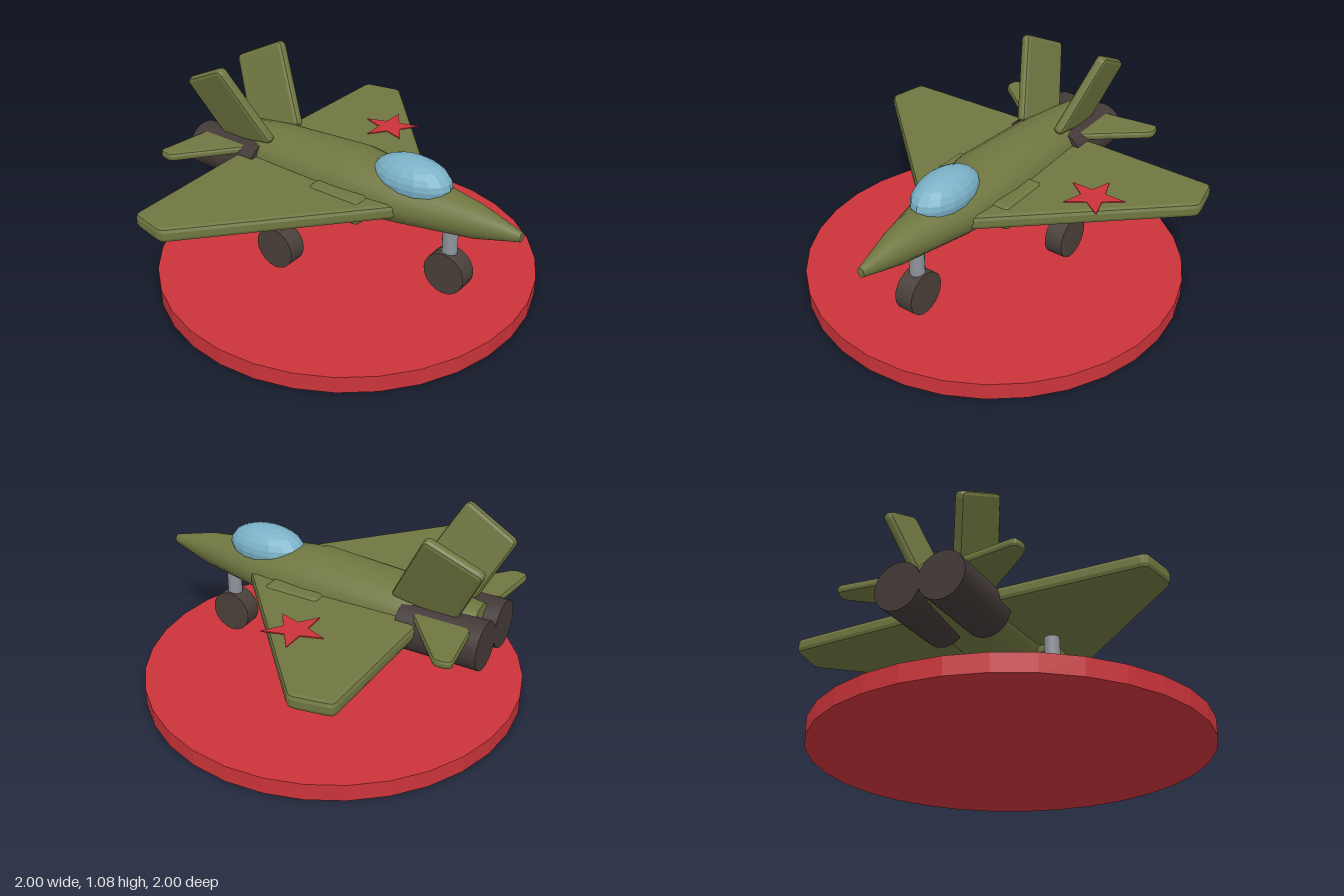
import * as THREE from 'three';
import { RoundedBoxGeometry } from 'three/addons/geometries/RoundedBoxGeometry.js';

const material = (name, color, flatShading = false) => {
  const m = new THREE.MeshStandardMaterial({ color, flatShading });
  m.name = name;
  return m;
};

// Polygon with slightly rounded corners
function roundedShape(points, r) {
  const pts = points.map(p => new THREE.Vector2(...p));
  const shape = new THREE.Shape();
  pts.forEach((p, i) => {
    const prev = pts[(i + pts.length - 1) % pts.length], next = pts[(i + 1) % pts.length];
    const a = p.clone().add(prev.clone().sub(p).setLength(r));
    const b = p.clone().add(next.clone().sub(p).setLength(r));
    if (i === 0) shape.moveTo(a.x, a.y); else shape.lineTo(a.x, a.y);
    shape.quadraticCurveTo(p.x, p.y, b.x, b.y);
  });
  shape.closePath();
  return shape;
}

// Bevelled slab, centred on its thickness
function slab(points, thickness, bevel) {
  const geo = new THREE.ExtrudeGeometry(roundedShape(points, 0.03), {
    depth: thickness - 2 * bevel, bevelThickness: bevel, bevelSize: bevel,
    bevelOffset: -bevel, bevelSegments: 2, curveSegments: 3,
  });
  return geo.translate(0, 0, -(thickness / 2 - bevel));
}

// Body of elliptical sections [z, halfWidth, halfHeight], nose first
function loft(stations) {
  const n = stations.length - 1;
  const geo = new THREE.CylinderGeometry(1, 1, 1, 24, n).rotateX(Math.PI / 2);
  const p = geo.attributes.position;
  for (let i = 0; i < p.count; i++) {
    const [z, rx, ry] = stations[Math.round((0.5 - p.getZ(i)) * n)];
    p.setXYZ(i, p.getX(i) * rx, p.getY(i) * ry, z);
  }
  geo.computeVertexNormals();
  return geo;
}

export function createModel() {
  const group = new THREE.Group();
  const olive = material('olive paint', 0x6f7640);
  const red = material('red', 0xcb343a);
  const glass = material('canopy blue', 0x7bb1c7, true);
  const rubber = material('wheel brown', 0x4b403b);
  const exhaust = material('engine brown', 0x433a38);
  const steel = material('strut grey', 0x8e949b);

  const add = (name, geo, mat, x = 0, y = 0, z = 0) => {
    const mesh = new THREE.Mesh(geo, mat);
    mesh.name = name;
    mesh.position.set(x, y, z);
    group.add(mesh);
    return mesh;
  };

  // Display base
  const base = new THREE.CylinderGeometry(1, 1, 0.09, 32).toNonIndexed();
  base.computeVertexNormals();
  add('base', base, red, 0, 0.045, 0);

  // Fuselage and canopy
  add('fuselage', loft([
    [1, 0.02, 0.025], [0.77, 0.08, 0.087], [0.38, 0.17, 0.128], [0.07, 0.2, 0.167],
    [-0.45, 0.185, 0.133], [-0.81, 0.1, 0.1],
  ]), olive, 0, 0.578, 0);
  const canopy = add('canopy', new THREE.SphereGeometry(1, 16, 12), glass, 0, 0.69, 0.395);
  canopy.scale.set(0.13, 0.112, 0.217);

  for (const s of [1, -1]) {
    const side = s > 0 ? 'left' : 'right';
    const mirror = pts => pts.map(([x, z]) => [s * x, z]);

    // Wing and tailplane
    const wing = slab(mirror([[0, 0.53], [0.1, 0.455], [0.985, -0.345], [0.945, -0.553], [0, -0.575]]), 0.075, 0.022);
    add(side + 'Wing', wing.rotateX(Math.PI / 2), olive, 0, 0.567, 0);
    const tail = slab(mirror([[0.1, -0.47], [0.485, -0.785], [0.472, -0.868], [0.1, -0.82]]), 0.045, 0.016);
    add(side + 'Tailplane', tail.rotateX(Math.PI / 2), olive, 0, 0.622, 0);

    // Outward-leaning fin
    const fin = slab([[0.39, 0.07], [0.61, 0.49], [0.89, 0.345], [0.725, 0]], 0.055, 0.02);
    add(side + 'Fin', fin.rotateY(Math.PI / 2), olive, s * 0.092, 0.62, 0).rotation.z = -s * 0.31;

    // Intake pod along the body
    add(side + 'Intake', new RoundedBoxGeometry(0.15, 0.135, 0.31, 2, 0.028), olive, s * 0.19, 0.548, 0.1);

    // Engine
    add(side + 'Engine', new THREE.CylinderGeometry(0.122, 0.122, 0.425, 24).rotateX(Math.PI / 2),
      exhaust, s * 0.115, 0.538, -0.672);
  }

  // Landing gear
  for (const [name, x, z] of [['nose', 0, 0.625], ['left', 0.32, -0.19], ['right', -0.32, -0.19]]) {
    add(name + 'Wheel', new THREE.CylinderGeometry(0.113, 0.113, 0.1, 20).rotateZ(Math.PI / 2), rubber, x, 0.243, z);
    add(name + 'Strut', new THREE.CylinderGeometry(0.039, 0.039, 0.18, 16), steel, x, 0.392, z);
  }

  // Painted star on the left wing
  const star = new THREE.Shape();
  for (let i = 0; i < 10; i++) {
    const r = i % 2 ? 0.063 : 0.157, a = i * Math.PI / 5;
    star[i ? 'lineTo' : 'moveTo'](r * Math.sin(a), -r * Math.cos(a));
  }
  star.closePath();
  add('wingStar', new THREE.ExtrudeGeometry(star, { depth: 0.006, bevelEnabled: false }).rotateX(Math.PI / 2),
    red, 0.53, 0.61, -0.098);

  return group;
}
